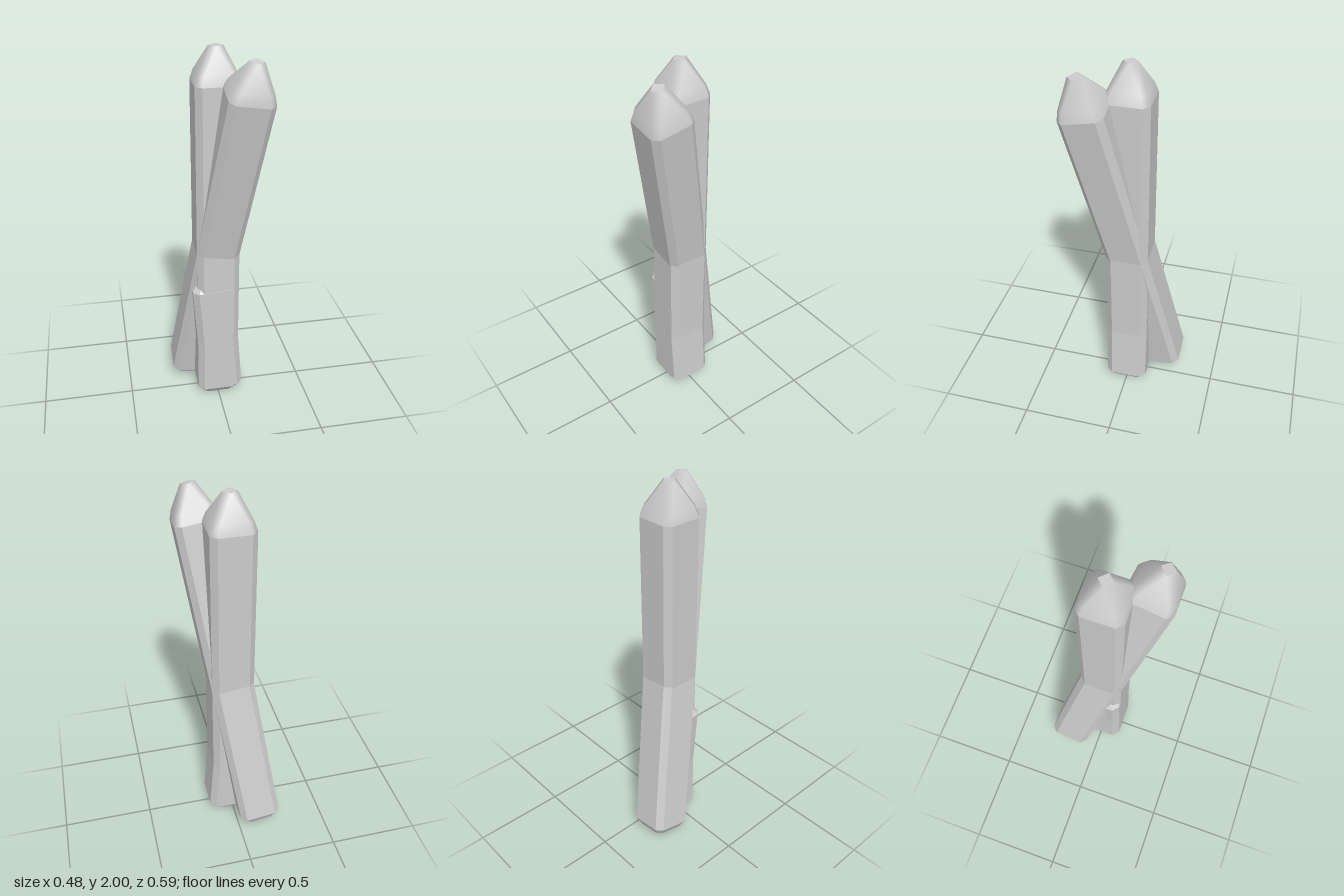
import * as THREE from 'three';
import { mergeVertices } from 'three/addons/utils/BufferGeometryUtils.js';

const material = new THREE.MeshStandardMaterial({ color: 0xcccccc });
const HALF = 0.115, FLAT = 0.083; // half width of a post, half width of its flat face

// Square cross-section with cut corners
function octagon(y, scale = 1) {
  const h = HALF * scale, c = FLAT * scale;
  return [[h, -c], [h, c], [c, h], [-c, h], [-h, c], [-h, -c], [-c, -h], [c, -h]]
    .map(([x, z]) => new THREE.Vector3(x, y, z));
}

// Small diamond with doubled corners, so that it joins an octagon
function diamond(y, r) {
  return [[r, 0], [r, 0], [0, r], [0, r], [-r, 0], [-r, 0], [0, -r], [0, -r]]
    .map(([x, z]) => new THREE.Vector3(x, y, z));
}

// Skin a stack of cross-sections, with optional flat ends
function loft(rings, { smooth = false, bottom = false, top = false } = {}) {
  const points = [];
  const n = 8;
  for (let i = 0; i < rings.length - 1; i++) {
    for (let k = 0; k < n; k++) {
      const m = (k + 1) % n;
      const a = rings[i][k], b = rings[i][m], c = rings[i + 1][k], d = rings[i + 1][m];
      points.push(a, c, b);
      if (!c.equals(d)) points.push(b, c, d);
    }
  }
  const cap = (ring, up) => {
    const centre = new THREE.Vector3(0, ring[0].y, 0);
    for (let k = 0; k < n; k++) {
      const m = (k + 1) % n;
      if (ring[k].equals(ring[m])) continue;
      if (up) points.push(centre, ring[m], ring[k]);
      else points.push(centre, ring[k], ring[m]);
    }
  };
  if (bottom) cap(rings[0], false);
  if (top) cap(rings[rings.length - 1], true);
  let geometry = new THREE.BufferGeometry().setFromPoints(points);
  if (smooth) geometry = mergeVertices(geometry, 1e-5);
  geometry.computeVertexNormals();
  return geometry;
}

function addMesh(group, name, geometry) {
  const mesh = new THREE.Mesh(geometry, material);
  mesh.name = name;
  group.add(mesh);
}

// Long post with a bevelled foot and a softly rounded, pointed tip
function stake(name) {
  const group = new THREE.Group();
  group.name = name;
  addMesh(group, 'shaft', loft([octagon(0, 0.74), octagon(0.04), octagon(1.825)], { bottom: true }));
  addMesh(group, 'tip', loft([octagon(1.825), octagon(1.875, 0.86), diamond(2, 0.037)], { smooth: true }));
  addMesh(group, 'tipCap', loft([diamond(2, 0.037)], { top: true }));
  return group;
}

export function createModel() {
  const model = new THREE.Group();
  model.name = 'crossedStakes';

  model.add(stake('uprightStake'));

  // Leaning stake, turned about the point where the two cross
  const pivotY = 0.92;
  const lean = new THREE.Group();
  lean.name = 'leaningStakePivot';
  lean.position.y = pivotY;
  lean.rotation.set(0.205, 0, -0.144, 'ZXY');
  const leaning = stake('leaningStake');
  leaning.position.y = -pivotY;
  lean.add(leaning);
  model.add(lean);

  // Short stub through the foot of the upright, tipped slightly sideways
  const stub = new THREE.Group();
  stub.name = 'stub';
  const s = 1.004;
  addMesh(stub, 'stubBlock', loft(
    [octagon(-0.355, 0.74), octagon(-0.32, s), octagon(0.335, s), octagon(0.365, 0.8)],
    { bottom: true, top: true }));
  stub.position.y = 0.365;
  stub.rotation.z = 0.076;
  model.add(stub);

  return model;
}
